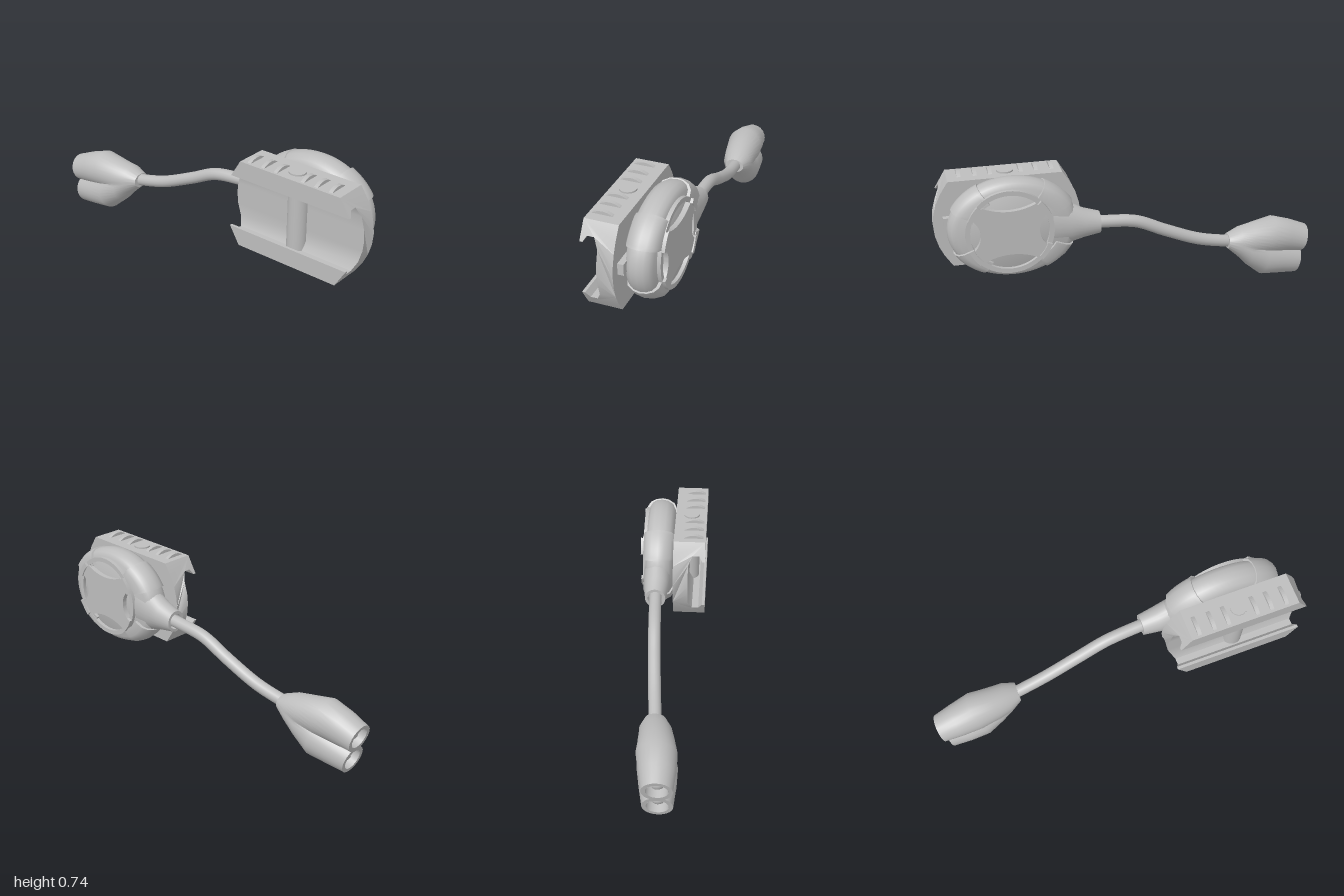
import * as THREE from 'three';
import { toCreasedNormals } from 'three/addons/utils/BufferGeometryUtils.js';

const grey = new THREE.MeshStandardMaterial({ color: 0xbdbdbd, side: THREE.DoubleSide });
grey.name = 'grey';

const V = (x, y, z) => new THREE.Vector3(x, y, z);
const CY = 0.488, CZ = 0.615; // pod centre

function add(parent, name, geo, x = 0, y = 0, z = 0) {
  const m = new THREE.Mesh(geo, grey);
  m.name = name;
  m.position.set(x, y, z);
  parent.add(m);
  return m;
}

// Skin over a list of closed rings; optional flat fans close the ends
function loft(rings, capStart, capEnd, crease = 0.7) {
  const n = rings[0].length, pos = [], idx = [];
  rings.forEach(r => r.forEach(p => pos.push(p.x, p.y, p.z)));
  for (let k = 0; k < rings.length - 1; k++) {
    for (let i = 0; i < n; i++) {
      const j = (i + 1) % n, a = k * n + i, b = k * n + j;
      idx.push(a, a + n, b, b, a + n, b + n);
    }
  }
  const cap = (k, flip) => {
    const c = rings[k].reduce((s, p) => s.add(p), V(0, 0, 0)).divideScalar(n);
    const ci = pos.length / 3;
    pos.push(c.x, c.y, c.z);
    for (let i = 0; i < n; i++) {
      const a = k * n + i, b = k * n + (i + 1) % n;
      idx.push(ci, ...(flip ? [b, a] : [a, b]));
    }
  };
  if (capStart) cap(0, false);
  if (capEnd) cap(rings.length - 1, true);
  const g = new THREE.BufferGeometry();
  g.setAttribute('position', new THREE.Float32BufferAttribute(pos, 3));
  g.setIndex(idx);
  return toCreasedNormals(g, crease);
}

// Outline of two overlapping circles of radius r, centres c either side
const lobe = (t, r, c) => c * Math.abs(Math.sin(t)) + Math.sqrt(r * r - (c * Math.cos(t)) ** 2);

function buildMount() {
  const g = new THREE.Group();
  g.name = 'railMount';
  // C-shaped clamp profile, rows on the walls let the ends bow outwards
  const rows = [0.32, 0.37, 0.43, 0.486, 0.54, 0.6, 0.653];
  const pts = [[-0.005, 0.257], ...rows.map(y => [-0.005, y]), [-0.005, 0.715],
    [-0.175, 0.715], [-0.175, 0.625], [-0.16, 0.625], [-0.143, 0.653], [-0.108, 0.653],
    [-0.085, 0.605], [-0.085, 0.54], [-0.085, 0.486], [-0.085, 0.43], [-0.085, 0.365],
    [-0.108, 0.32], [-0.143, 0.32], [-0.163, 0.35], [-0.178, 0.35], [-0.178, 0.257]];
  const shape = new THREE.Shape(pts.map(p => new THREE.Vector2(...p)));
  const geo = new THREE.ExtrudeGeometry(shape, { depth: 1, bevelEnabled: false });
  const p = geo.attributes.position;
  for (let i = 0; i < p.count; i++) {
    const half = 0.372 - 1.64 * (p.getY(i) - 0.486) ** 2;
    p.setZ(i, 0.628 + (p.getZ(i) - 0.5) * 2 * half);
  }
  add(g, 'clamp', toCreasedNormals(geo, 0.5));
  add(g, 'recoilBar', new THREE.CylinderGeometry(0.052, 0.052, 0.335, 24), -0.085, 0.486, 0.628);

  // Finger ridges and round button, top and bottom
  const seg = new THREE.Shape();
  seg.moveTo(-0.058, -0.004);
  seg.quadraticCurveTo(0, 0.038, 0.058, -0.004);
  const ridge = new THREE.ExtrudeGeometry(seg, { depth: 0.02, bevelEnabled: false, curveSegments: 10 });
  ridge.translate(0, 0, -0.01);
  for (const s of [1, -1]) {
    for (const z of [0.387, 0.467, 0.543, 0.697, 0.773, 0.853]) {
      add(g, 'gripRidge', ridge, -0.11, 0.486 + s * 0.229, z).rotation.z = s > 0 ? 0 : Math.PI;
    }
    add(g, 'button', new THREE.CylinderGeometry(0.043, 0.043, 0.02, 24), -0.092, 0.486 + s * 0.227, 0.62);
  }
  add(g, 'latch', new THREE.BoxGeometry(0.035, 0.058, 0.1), 0.008, 0.506, 0.9);
  return g;
}

function buildPod() {
  const g = new THREE.Group();
  g.name = 'switchPod';
  // Oval body with a rounded rim
  const prof = [[0, 0.003], [0.8, 0.003], [0.92, 0.02], [0.98, 0.047], [1, 0.08], [0.985, 0.11],
    [0.94, 0.132], [0.86, 0.145], [0, 0.147]].map(p => new THREE.Vector2(...p));
  const body = new THREE.LatheGeometry(prof, 64);
  body.rotateZ(-Math.PI / 2).scale(1, 0.26, 0.325);
  add(g, 'podBody', toCreasedNormals(body, 0.6), 0, CY, CZ);

  // Four raised corner grips
  const loop = [[0.7, 0.004], [0.82, -0.004], [0.94, 0.013], [1.01, 0.047], [1.03, 0.08], [1.01, 0.115],
    [0.96, 0.143], [0.87, 0.16], [0.7, 0.162]];
  for (let q = 0; q < 4; q++) {
    const rings = [];
    for (let i = 0; i <= 10; i++) {
      const a = (q < 2 ? 1 : -1) * (q % 2 ? 154 - i * 3.4 : 26 + i * 3.4) * Math.PI / 180;
      rings.push(loop.map(([r, x]) => V(x, CY + r * 0.257 * Math.sin(a), CZ + r * 0.325 * Math.cos(a))));
    }
    if (q === 1 || q === 2) rings.reverse();
    rings.reverse();
    add(g, 'cornerGrip', loft(rings, true, true));
  }

  // Round face: low rim, raised rim arcs and a panel with four scoops
  const face = new THREE.Group();
  face.name = 'podFace';
  face.position.set(0, CY, 0.638);
  face.rotation.y = Math.PI / 2;
  g.add(face);
  const slab = (name, shape, from, to) => add(face, name, toCreasedNormals(
    new THREE.ExtrudeGeometry(shape, { depth: to - from, bevelEnabled: false, curveSegments: 32 }), 0.5), 0, 0, from);
  const rim = new THREE.Shape().absarc(0, 0, 0.22, 0, Math.PI * 2);
  rim.holes.push(new THREE.Path().absarc(0, 0, 0.196, 0, Math.PI * 2, true));
  slab('faceRim', rim, 0.1, 0.164);
  for (const mid of [33, 147, 213, 327]) {
    const a = (mid - 12) * Math.PI / 180, b = (mid + 12) * Math.PI / 180;
    const arc = new THREE.Shape().absarc(0, 0, 0.22, a, b, false);
    arc.absarc(0, 0, 0.196, b, a, true);
    slab('rimArc', arc, 0.15, 0.178);
  }
  const entry = (t, D, R, dir) => {
    const d = t - dir, k = R * R - (D * Math.sin(d)) ** 2;
    return Math.cos(d) > 0 && k > 0 ? D * Math.cos(d) - Math.sqrt(k) : 1;
  };
  const panel = [];
  for (let i = 0; i < 120; i++) {
    const t = i / 120 * Math.PI * 2;
    const r = Math.min(0.196, entry(t, 0.412, 0.297, Math.PI / 2), entry(t, 0.412, 0.297, Math.PI * 1.5),
      entry(t, 0.254, 0.109, 0), entry(t, 0.254, 0.109, Math.PI), entry(t, 0.254, 0.109, Math.PI * 2));
    panel.push(new THREE.Vector2(r * Math.cos(t), r * Math.sin(t)));
  }
  slab('facePanel', new THREE.Shape(panel), 0.14, 0.171);

  // Tapered strain relief with a hollow mouth
  const relief = [[0.42, 0.485, 0.07, 0.135], [0.33, 0.478, 0.072, 0.108], [0.26, 0.468, 0.065, 0.078],
    [0.175, 0.462, 0.054, 0.057], [0.175, 0.462, 0.04, 0.042], [0.21, 0.462, 0.04, 0.042]];
  add(g, 'strainRelief', loft(relief.map(([z, y, rx, ry]) => Array.from({ length: 28 }, (_, i) => {
    const t = i / 28 * Math.PI * 2;
    return V(0.083 + rx * Math.cos(t), y + ry * Math.sin(t), z);
  })), true, true));
  return g;
}

function buildPlug() {
  const g = new THREE.Group();
  g.name = 'plug';
  // Cross-sections: x, then top and bottom as y and z, lobe radius, lobe spacing
  const secs = [[0.035, 0.285, -0.535, 0.21, -0.53, 0.052, 0], [0.03, 0.315, -0.605, 0.155, -0.59, 0.08, 0.004],
    [0.022, 0.328, -0.68, 0.095, -0.645, 0.088, 0.03], [0.013, 0.35, -0.8, 0.027, -0.725, 0.1, 0.062],
    [0.005, 0.318, -0.9, 0.015, -0.83, 0.09, 0.065], [0, 0.278, -0.995, 0.005, -0.93, 0.075, 0.066]];
  const N = 40;
  const rings = secs.map(([x, ty, tz, by, bz, r, c]) => {
    const mid = V(x, (ty + by) / 2, (tz + bz) / 2), up = V(0, ty - by, tz - bz).divideScalar(2 * (r + c));
    return Array.from({ length: N }, (_, i) => {
      const t = i / N * Math.PI * 2, d = lobe(t, r, c);
      return mid.clone().addScaledVector(up, d * Math.sin(t)).add(V(d * Math.cos(t), 0, 0));
    });
  });
  add(g, 'plugShell', loft(rings, true, false, 0.6));

  // End face with two sockets, each holding a rounded contact
  const end = new THREE.Group();
  end.name = 'plugEnd';
  const up = V(0, 0.273, -0.065).normalize(), out = V(0, up.z, -up.y);
  end.setRotationFromMatrix(new THREE.Matrix4().makeBasis(V(-1, 0, 0), up, out));
  end.position.set(0, 0.1415, -0.9625);
  g.add(end);
  const outline = Array.from({ length: N }, (_, i) => {
    const t = i / N * Math.PI * 2, d = lobe(t, 0.075, 0.066);
    return new THREE.Vector2(d * Math.cos(t), d * Math.sin(t));
  });
  const shape = new THREE.Shape(outline);
  for (const s of [1, -1]) {
    const y = s * 0.067;
    shape.holes.push(new THREE.Path().absarc(0, y, 0.054, 0, Math.PI * 2, true));
    const wall = new THREE.CylinderGeometry(0.054, 0.054, 0.06, 24, 1, true).rotateX(Math.PI / 2);
    add(end, 'socketWall', wall, 0, y, -0.03);
    add(end, 'socketFloor', new THREE.CircleGeometry(0.054, 24), 0, y, -0.06);
    add(end, 'contact', new THREE.SphereGeometry(0.042, 20, 14), 0, y, -0.06);
  }
  add(end, 'endFace', new THREE.ShapeGeometry(shape, 24));
  return g;
}

export function createModel() {
  const model = new THREE.Group();
  model.name = 'remoteSwitch';
  model.add(buildMount(), buildPod(), buildPlug());
  // Cable between pod and plug
  const path = new THREE.CatmullRomCurve3([V(0.083, 0.463, 0.23), V(0.08, 0.458, 0.14), V(0.073, 0.437, -0.02),
    V(0.064, 0.365, -0.18), V(0.05, 0.287, -0.37), V(0.037, 0.25, -0.53), V(0.034, 0.245, -0.57)]);
  add(model, 'cable', new THREE.TubeGeometry(path, 48, 0.032, 16));
  return model;
}
